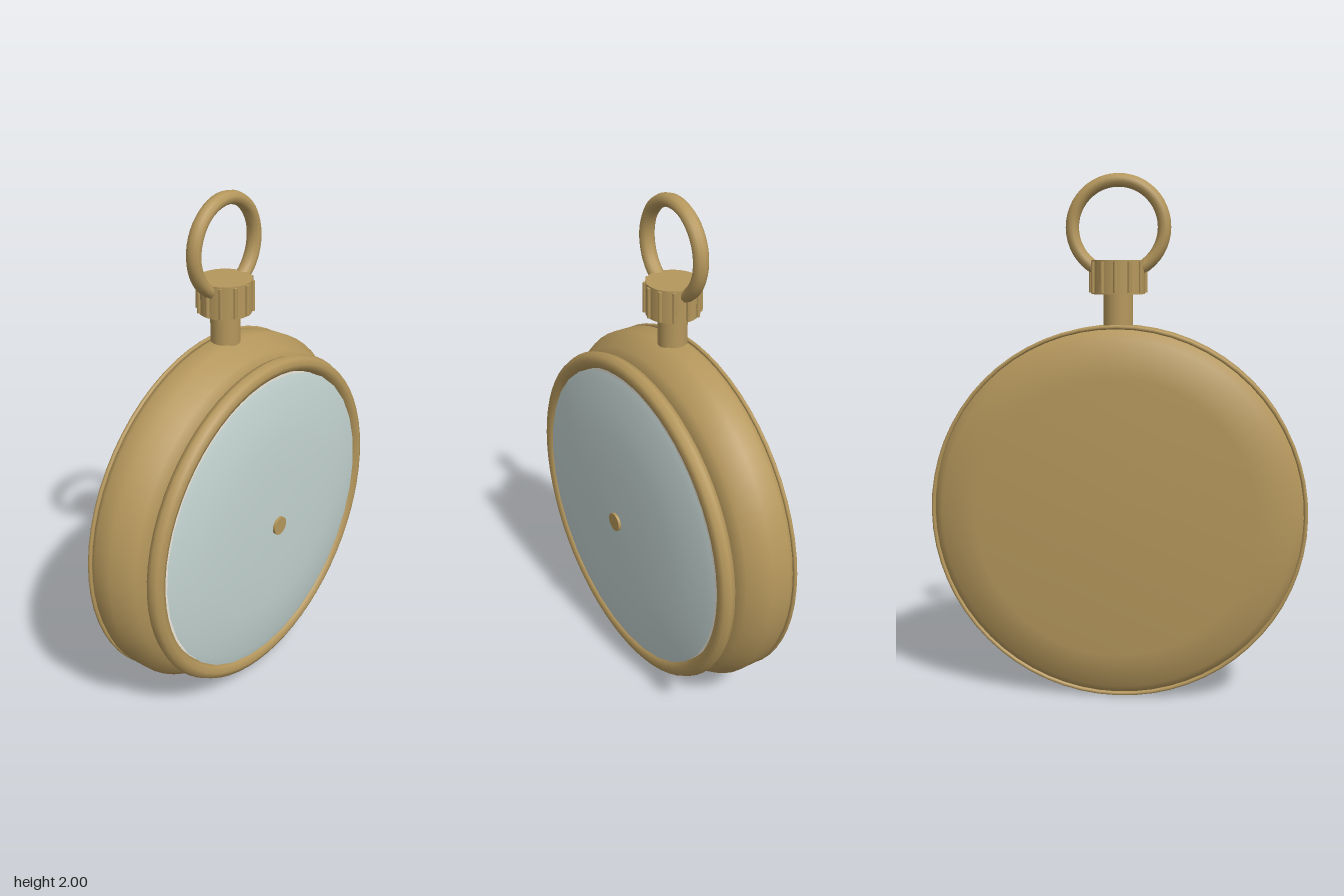
import * as THREE from 'three';

const material = (color, side = THREE.FrontSide) => new THREE.MeshStandardMaterial({ color, side });
const brass = material(0xb5975c);
const glassMat = material(0xc3d3d0, THREE.DoubleSide);
const dialMat = material(0xeeeade);
const darkMat = material(0x222222);

const CENTRE_Y = 0.725; // middle of the round case
const STEM_Z = -0.068; // depth of stem, crown and bow

function add(parent, name, geometry, mat, x = 0, y = 0, z = 0) {
  const mesh = new THREE.Mesh(geometry, mat);
  mesh.name = name;
  mesh.position.set(x, y, z);
  parent.add(mesh);
  return mesh;
}

// Lathe turned around the z axis; profile is [radius, z] from back to front
function turned(profile, segments) {
  const points = profile.map(([r, z]) => new THREE.Vector2(r, z));
  return new THREE.LatheGeometry(points, segments).rotateX(Math.PI / 2);
}

const disc = (radius, depth, segments) =>
  new THREE.CylinderGeometry(radius, radius, depth, segments).rotateX(Math.PI / 2);

export function createModel() {
  const group = new THREE.Group();
  group.name = 'pocketWatch';

  const watch = new THREE.Group();
  watch.name = 'watchHead';
  watch.position.y = CENTRE_Y;
  group.add(watch);

  // Rounded case with a flat back
  add(watch, 'case', turned([
    [0, -0.205], [0.53, -0.205], [0.67, -0.165], [0.705, -0.125], [0.718, -0.1],
    [0.718, -0.025], [0.67, 0.055], [0.6, 0.083], [0, 0.085],
  ], 64), brass);

  // Thin hinge rim around the back cover
  add(watch, 'backRim', new THREE.TorusGeometry(0.712, 0.008, 8, 64), brass, 0, 0, -0.128);

  // Bezel, dial and domed glass
  add(watch, 'bezel', new THREE.TorusGeometry(0.637, 0.033, 8, 64), brass, 0, 0, 0.122);
  add(watch, 'dial', disc(0.615, 0.02, 48), dialMat, 0, 0, 0.09);
  add(watch, 'glass', turned([
    [0.605, 0.145], [0.57, 0.155], [0.48, 0.171], [0.37, 0.184], [0.2, 0.19], [0, 0.192],
  ], 32), glassMat);

  // Hands under the glass and the centre pin through it
  for (const [name, length, angle] of [['minuteHand', 0.46, 0.61], ['hourHand', 0.3, 2.5]]) {
    const hand = add(watch, name,
      new THREE.BoxGeometry(length, 0.02, 0.008).translate(length / 2, 0, 0), darkMat, 0, 0, 0.165);
    hand.rotation.z = angle;
  }
  add(watch, 'centrePin', disc(0.037, 0.1, 24), brass, 0, 0, 0.152);

  // Stem and fluted crown
  add(group, 'stem', new THREE.CylinderGeometry(0.056, 0.056, 0.18, 24), brass, 0, 1.49, STEM_Z);
  const crown = new THREE.Group();
  crown.name = 'crown';
  crown.position.set(0, 1.62, STEM_Z);
  group.add(crown);
  add(crown, 'crownBody', new THREE.CylinderGeometry(0.1, 0.1, 0.125, 32), brass);
  const ridge = new THREE.CylinderGeometry(0.008, 0.008, 0.115, 8);
  for (let i = 0; i < 12; i++) {
    const a = (i / 12) * Math.PI * 2;
    add(crown, 'crownRidge', ridge, brass, Math.sin(a) * 0.102, 0, Math.cos(a) * 0.102);
  }

  // Ring for the chain
  const bow = add(group, 'bow', new THREE.TorusGeometry(0.172, 0.025, 10, 48), brass, 0, 1.803, STEM_Z);
  bow.scale.z = 1.2;

  return group;
}
